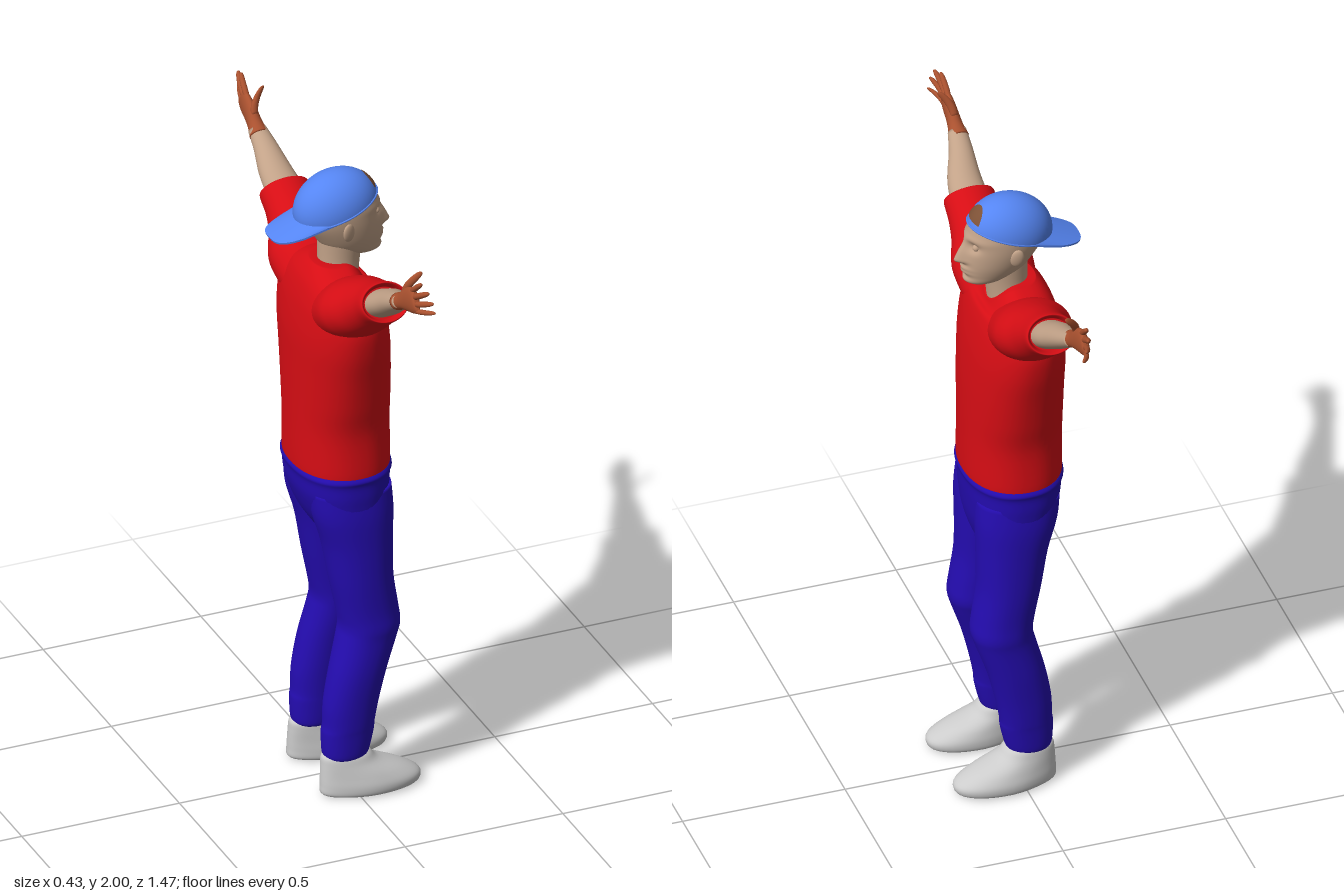
import * as THREE from 'three';

const mat = (color) => new THREE.MeshStandardMaterial({ color, side: THREE.DoubleSide });
const skin = mat(0xc2a288), handSkin = mat(0xa9512f), red = mat(0xd60d14);
const navy = mat(0x240cb0), blue = mat(0x5585f2), brown = mat(0x7d5136), grey = mat(0xcccccc);

const catmull = (a, b, c, d, t) =>
  b + 0.5 * t * (c - a + t * (2 * a - 5 * b + 4 * c - d + t * (3 * (b - c) + d - a)));
const gauss = (d, s) => Math.exp(-(d * d) / (2 * s * s));
const smooth = (v, a, b) => THREE.MathUtils.smoothstep(v, a, b);

// Smooth skin over rings [y, centreX, centreZ, radiusX, radiusZ]; power > 2 squares the section
function loft(name, material, keys, { segs = 32, sub = 5, power = 2, rule } = {}) {
  const pos = [], index = [], rings = [];
  for (let k = 0; k < keys.length - 1; k++) {
    const [a, b, c, d] = [-1, 0, 1, 2].map((o) => keys[THREE.MathUtils.clamp(k + o, 0, keys.length - 1)]);
    for (let s = 0; s < sub; s++) rings.push(b.map((_, i) => catmull(a[i], b[i], c[i], d[i], s / sub)));
  }
  rings.push(keys[keys.length - 1]);
  const p = new THREE.Vector3();
  const bend = (v) => Math.sign(v) * Math.abs(v) ** (2 / power);
  for (const [y, cx, cz, rx, rz] of rings) {
    for (let j = 0; j < segs; j++) {
      const t = (j / segs) * Math.PI * 2;
      p.set(cx + rx * bend(Math.cos(t)), y, cz + rz * bend(Math.sin(t)));
      if (rule) rule(p, Math.cos(t));
      pos.push(p.x, p.y, p.z);
    }
  }
  const n = rings.length;
  for (let i = 0; i < n - 1; i++) {
    for (let j = 0; j < segs; j++) {
      const a = i * segs + j, b = i * segs + ((j + 1) % segs);
      index.push(a, a + segs, b, b, a + segs, b + segs);
    }
  }
  // End caps
  for (const [r, top] of [[0, false], [n - 1, true]]) {
    const c = pos.length / 3;
    pos.push(rings[r][1], rings[r][0], rings[r][2]);
    for (let j = 0; j < segs; j++) {
      const a = r * segs + j, b = r * segs + ((j + 1) % segs);
      index.push(c, ...(top ? [b, a] : [a, b]));
    }
  }
  const g = new THREE.BufferGeometry();
  g.setAttribute('position', new THREE.Float32BufferAttribute(pos, 3));
  g.setIndex(index);
  g.computeVertexNormals();
  return named(name, g, material);
}

function named(name, geometry, material) {
  const m = new THREE.Mesh(geometry, material);
  m.name = name;
  return m;
}

// Moves every vertex of a geometry by a rule
function reshape(g, rule) {
  const a = g.attributes.position, p = new THREE.Vector3();
  for (let i = 0; i < a.count; i++) {
    rule(p.fromBufferAttribute(a, i));
    a.setXYZ(i, p.x, p.y, p.z);
  }
  g.computeVertexNormals();
  return g;
}

function makeHead() {
  const head = new THREE.Group();
  head.name = 'head';
  head.add(loft('neck', skin, [
    [1.6, -0.01, 0, 0.07, 0.075], [1.66, 0, 0, 0.062, 0.062], [1.72, 0.005, 0, 0.064, 0.057], [1.8, 0.01, 0, 0.07, 0.06],
  ]));
  // Nose, eye sockets, brow and lips are raised or sunk on the front of the skull
  const face = (p, front) => {
    if (front <= 0) return;
    const nose = smooth(p.y, 1.79, 1.808) * THREE.MathUtils.clamp((1.885 - p.y) / 0.075, 0, 1);
    p.x += 0.03 * nose * gauss(p.z, 0.008 + 0.005 * nose);
    for (const s of [-1, 1]) p.x -= 0.013 * gauss(p.z - s * 0.034, 0.014) * gauss(p.y - 1.862, 0.011);
    p.x += 0.004 * gauss(p.y - 1.885, 0.008) * front;
    p.x += gauss(p.z, 0.02) * (0.008 * gauss(p.y - 1.782, 0.005) + 0.007 * gauss(p.y - 1.768, 0.005) - 0.005 * gauss(p.y - 1.753, 0.006));
  };
  head.add(loft('face', skin, [
    [1.722, 0.08, 0, 0.035, 0.025], [1.735, 0.07, 0, 0.066, 0.046], [1.76, 0.046, 0, 0.09, 0.062],
    [1.8, 0.03, 0, 0.106, 0.077], [1.85, 0.013, 0, 0.119, 0.087], [1.9, 0.004, 0, 0.12, 0.088],
    [1.94, 0, 0, 0.108, 0.078], [1.97, 0, 0, 0.07, 0.05],
  ], { segs: 96, sub: 10, rule: face }));
  for (const s of [-1, 1]) {
    const eye = named('eye', new THREE.SphereGeometry(0.011, 16, 12), skin);
    eye.position.set(0.108, 1.861, s * 0.034);
    const ear = named('ear', new THREE.SphereGeometry(1, 20, 14), skin);
    ear.scale.set(0.02, 0.032, 0.009);
    ear.position.set(0, 1.835, s * 0.088);
    ear.rotation.set(s * 0.15, s * 0.3, 0.15);
    head.add(eye, ear);
  }
  return head;
}

// Cap worn backwards: dome, strap opening at the forehead, arched bill behind
function makeCap() {
  const cap = new THREE.Group();
  cap.name = 'cap';
  const [L, H, W] = [0.131, 0.113, 0.098];
  const dome = named('capDome', new THREE.SphereGeometry(1, 48, 20, 0, Math.PI * 2, 0, Math.PI / 2), blue);
  dome.scale.set(L, H, W);
  const opening = reshape(new THREE.RingGeometry(0.01, 1, 32, 8, 0, Math.PI), (p) => {
    const az = 0.42 * p.x, el = 0.15 + 0.45 * p.y;
    p.set(L * Math.cos(el) * Math.cos(az), H * Math.sin(el), -W * Math.cos(el) * Math.sin(az)).multiplyScalar(1.012);
  });
  const bill = reshape(new THREE.BoxGeometry(1, 1, 1, 20, 1, 20), (p) => {
    const u = 0.5 - p.x, v = p.z * 2;
    const reach = 0.04 + 0.18 * (1 - Math.abs(v) ** 3.5) ** 0.5;
    p.set(-0.03 - u * (reach - 0.03), 0.005 + 0.022 * (1 - v * v) * (1 - 0.5 * u) - 0.008 * u + p.y * 0.006, v * 0.09);
  });
  const rim = named('capRim', new THREE.TorusGeometry(1, 0.03, 8, 48), blue);
  rim.rotation.x = Math.PI / 2;
  rim.scale.set(L, W, 0.1);
  cap.add(dome, named('strapOpening', opening, brown), named('capBill', bill, blue), rim);
  cap.position.set(-0.005, 1.885, 0);
  cap.rotation.z = 0.314;
  return cap;
}

// Raised arm built along its own y axis; its local +z * s points down
function makeArm(s) {
  const arm = new THREE.Group();
  arm.name = s > 0 ? 'rightArm' : 'leftArm';
  const w = s > 0 ? -0.034 : -0.014;
  const add = (name, m, keys, opt) => arm.add(loft(name, m, keys.map(([y, x, z, a, b]) => [y, x, z * s, a, b]), opt));
  add('sleeve', red, [
    [-0.03, -0.015, 0, 0.11, 0.09], [0.06, -0.015, 0, 0.12, 0.092], [0.11, -0.013, 0, 0.112, 0.088], [0.17, -0.01, 0, 0.09, 0.08],
    [0.23, -0.008, 0, 0.079, 0.069], [0.285, -0.008, 0, 0.077, 0.062], [0.292, -0.008, 0, 0.07, 0.056], [0.27, -0.008, 0, 0.06, 0.046],
  ], { segs: 40 });
  add('forearm', skin, [
    [0.2, -0.008, 0, 0.058, 0.045], [0.29, -0.008, 0, 0.056, 0.041], [0.36, -0.012, 0, 0.049, 0.038],
    [0.44, w * 0.8, 0, 0.036, 0.03], [0.5, w, 0, 0.028, 0.024],
  ]);
  add('palm', handSkin, [
    [0.48, w, 0, 0.0305, 0.0265], [0.515, w, 0, 0.023, 0.026], [0.55, w, -0.001, 0.019, 0.035],
    [0.59, w, 0.003, 0.016, 0.04], [0.615, w, 0.006, 0.012, 0.036], [0.622, w, 0.006, 0.006, 0.028],
  ]);
  // Fingers: base y, base z, tip y, tip z, forward curl, radius
  for (const [y0, z0, y1, z1, curl, r] of [
    [0.6, -0.024, 0.675, -0.038, 0.005, 0.009], [0.605, -0.005, 0.7, -0.008, 0.012, 0.0095],
    [0.605, 0.016, 0.694, 0.024, 0.022, 0.009], [0.595, 0.034, 0.674, 0.052, 0.03, 0.008],
    [0.535, -0.022, 0.6, -0.07, 0.04, 0.012],
  ]) {
    add('finger', handSkin, [[0, 0.9], [0.3, 1], [0.6, 0.95], [0.85, 0.8], [0.97, 0.5], [1, 0.1]].map(([t, k]) =>
      [y0 + (y1 - y0) * t, w + curl * t * t, z0 + (z1 - z0) * t, r * k, r * k]), { segs: 14, sub: 3 });
  }
  arm.position.set(0, 1.605, s * 0.12);
  arm.rotation.x = (s * Math.PI) / 3;
  return arm;
}

function makeLeg(s) {
  const leg = new THREE.Group();
  leg.name = s > 0 ? 'rightLeg' : 'leftLeg';
  const add = (name, m, keys, opt) => leg.add(loft(name, m, keys.map(([y, x, z, a, b]) => [y, x, z * s, a, b]), opt));
  add('trouserLeg', navy, [
    [0.12, -0.025, 0.115, 0.06, 0.05], [0.135, -0.024, 0.115, 0.07, 0.056], [0.2, -0.018, 0.116, 0.079, 0.06],
    [0.23, -0.015, 0.117, 0.078, 0.062], [0.3, -0.007, 0.117, 0.083, 0.066], [0.4, 0.015, 0.115, 0.086, 0.073],
    [0.5, 0.045, 0.107, 0.09, 0.081], [0.545, 0.055, 0.104, 0.091, 0.087], [0.6, 0.048, 0.102, 0.092, 0.087],
    [0.7, 0.031, 0.1, 0.095, 0.091], [0.82, 0.02, 0.096, 0.106, 0.095], [0.92, 0.007, 0.095, 0.122, 0.095], [1.0, 0, 0.09, 0.125, 0.09],
  ], { segs: 40, power: 2.2 });
  add('shoe', grey, [
    [0, 0.05, 0.123, 0.135, 0.06], [0.01, 0.05, 0.123, 0.154, 0.074], [0.035, 0.049, 0.123, 0.154, 0.077],
    [0.065, 0.026, 0.121, 0.13, 0.071], [0.1, -0.012, 0.118, 0.09, 0.062], [0.125, -0.024, 0.116, 0.075, 0.056], [0.135, -0.025, 0.116, 0.06, 0.045],
  ], {
    segs: 40, power: 2.2,
    rule: (p) => { p.z = s * 0.12 + (p.z - s * 0.12) * (0.8 + 0.2 * smooth(p.x, -0.1, 0.06)); },
  });
  return leg;
}

export function createModel() {
  const person = new THREE.Group();
  person.name = 'person';
  // Shirt body, its collar dipping to a V at the chest
  person.add(loft('shirt', red, [
    [1.055, -0.004, 0, 0.138, 0.182], [1.07, -0.004, 0, 0.146, 0.189], [1.2, -0.005, 0, 0.146, 0.184], [1.3, -0.006, 0, 0.145, 0.202],
    [1.4, -0.008, 0, 0.143, 0.222], [1.5, -0.012, 0, 0.138, 0.244], [1.58, -0.015, 0, 0.126, 0.25], [1.63, -0.017, 0, 0.113, 0.232],
    [1.67, -0.017, 0, 0.099, 0.185], [1.7, -0.013, 0, 0.084, 0.125], [1.718, -0.008, 0, 0.072, 0.075],
  ], {
    segs: 64, power: 2.25,
    rule: (p, front) => { p.y -= 0.062 * smooth(p.y, 1.62, 1.718) * Math.max(0, front) ** 2; },
  }));
  person.add(loft('trouserHips', navy, [
    [0.78, 0.02, 0, 0.05, 0.03], [0.83, 0.02, 0, 0.085, 0.1], [0.9, 0.008, 0, 0.118, 0.172], [0.98, -0.002, 0, 0.138, 0.188],
    [1.035, -0.004, 0, 0.144, 0.19], [1.055, -0.004, 0, 0.149, 0.195], [1.068, -0.004, 0, 0.144, 0.188],
  ], { segs: 64, power: 2.3 }));
  for (const s of [-1, 1]) person.add(makeArm(s), makeLeg(s));
  person.add(makeHead(), makeCap());
  return person;
}
